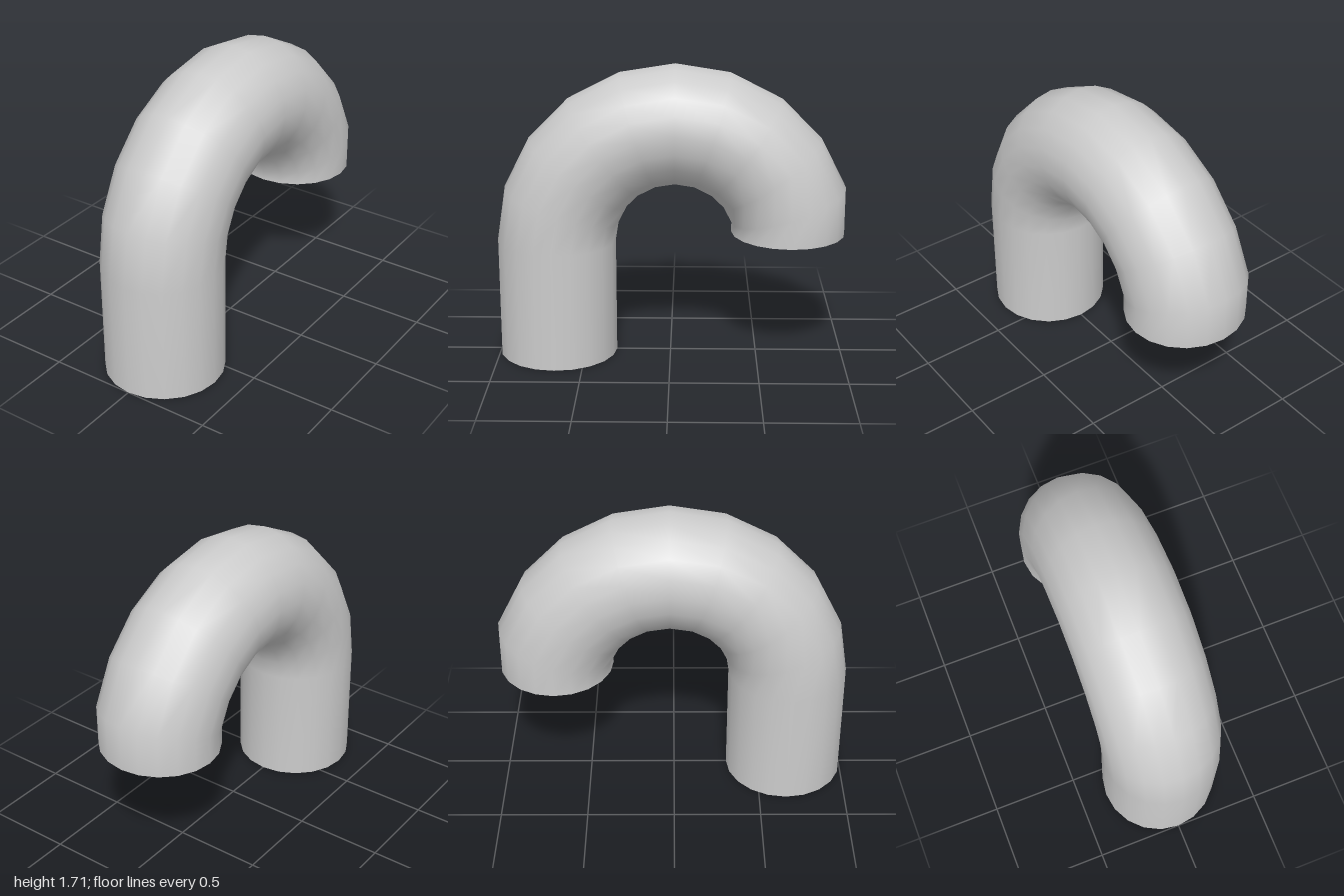
import * as THREE from 'three';

const SIDES = 20;         // sides of the round pipe
const STEP = Math.PI / 10; // bend angle per segment
const R = 0.342;          // pipe radius
const BEND = 0.683;       // centreline radius of the bend
const CY = 0.68, CZ = -0.025; // centre of the bend

// One ring of the pipe at bend angle a; flatY drops it onto a level plane
function ring(a, flatY) {
  const pts = [];
  for (let j = 0; j < SIDES; j++) {
    const t = (j / SIDES) * Math.PI * 2;
    const d = BEND + R * Math.cos(t);
    pts.push(R * Math.sin(t), flatY ?? CY + d * Math.sin(a), CZ + d * Math.cos(a));
  }
  return pts;
}

export function createModel() {
  const group = new THREE.Group();
  group.name = 'ventPipe';

  // Straight leg, nine bend segments, then a short level-cut mouth
  const rings = [ring(0, 0)];
  for (let i = 0; i <= 9; i++) rings.push(ring(i * STEP));
  rings.push(ring(9 * STEP, 0.73));

  const index = [];
  for (let i = 0; i < rings.length - 1; i++) {
    for (let j = 0; j < SIDES; j++) {
      const k = (j + 1) % SIDES;
      const a = i * SIDES + j, b = i * SIDES + k;
      const c = b + SIDES, d = a + SIDES;
      index.push(a, b, c, a, c, d);
    }
  }

  const geometry = new THREE.BufferGeometry();
  geometry.setAttribute('position', new THREE.Float32BufferAttribute(rings.flat(), 3));
  geometry.setIndex(index);
  geometry.computeVertexNormals();

  // Thin open shell, seen from inside at both mouths
  const pipe = new THREE.Mesh(
    geometry,
    new THREE.MeshStandardMaterial({ color: 0xcccccc, side: THREE.DoubleSide })
  );
  pipe.name = 'bentPipe';
  group.add(pipe);
  return group;
}
